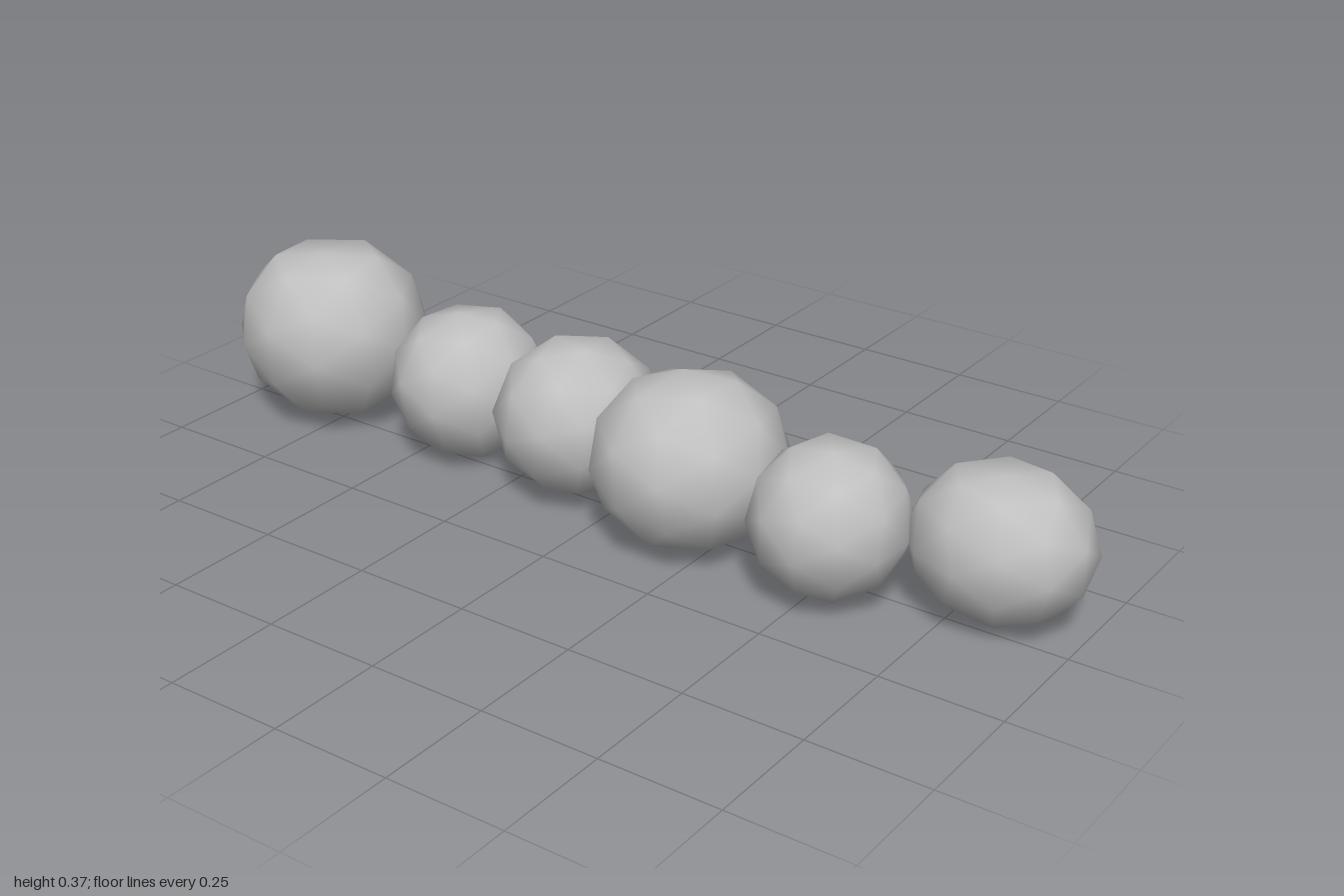
import * as THREE from 'three';
import { mergeVertices } from 'three/addons/utils/BufferGeometryUtils.js';

const grey = new THREE.MeshStandardMaterial({ color: 0xc0c0c0 });
grey.name = 'plain grey';

// Low-poly ball: turned, flattened at its poles, then fitted into a box.
function ballGeometry(min, max, turn, low, high) {
  let g = new THREE.IcosahedronGeometry(1, 1);
  g.deleteAttribute('uv');
  g.deleteAttribute('normal');
  g = mergeVertices(g, 1e-4);
  g.rotateX(turn[0]).rotateY(turn[1]).rotateZ(turn[2]);
  const p = g.attributes.position;
  for (let i = 0; i < p.count; i++) {
    p.setY(i, THREE.MathUtils.clamp(p.getY(i), -low, high));
  }
  g.computeBoundingBox();
  const b = g.boundingBox;
  const fit = (v, a, z, lo, hi) => lo + ((v - a) / (z - a)) * (hi - lo);
  for (let i = 0; i < p.count; i++) {
    p.setXYZ(i,
      fit(p.getX(i), b.min.x, b.max.x, min[0], max[0]),
      fit(p.getY(i), b.min.y, b.max.y, min[1], max[1]),
      fit(p.getZ(i), b.min.z, b.max.z, min[2], max[2]));
  }
  g.computeVertexNormals();
  g.computeBoundingBox();
  g.computeBoundingSphere();
  return g;
}

// Each ball: lowest corner, highest corner, turn, pole flattening below and above
const balls = [
  { min: [-1, 0.01, -0.22], max: [-0.57, 0.373, 0.17], turn: [0.08, 0.5, 0.05], low: 0.95, high: 0.87 },
  { min: [-0.585, 0, -0.21], max: [-0.255, 0.315, 0.12], turn: [0.1, 0.2, 0.1], low: 0.95, high: 0.94 },
  { min: [-0.285, 0.015, -0.195], max: [0.05, 0.33, 0.15], turn: [0.2, 0.7, -0.1], low: 0.94, high: 0.95 },
  { min: [0, 0.01, -0.165], max: [0.385, 0.356, 0.22], turn: [-0.1, 0.3, 0.12], low: 0.94, high: 0.95 },
  { min: [0.37, 0.023, -0.105], max: [0.685, 0.314, 0.215], turn: [0.15, 0.1, -0.08], low: 0.9, high: 0.94 },
  { min: [0.65, 0.022, -0.215], max: [1, 0.298, 0.1], turn: [0.1, 0.9, 0.06], low: 0.87, high: 0.88 },
];

export function createModel() {
  const model = new THREE.Group();
  model.name = 'ballRow';
  balls.forEach((b, i) => {
    const mesh = new THREE.Mesh(ballGeometry(b.min, b.max, b.turn, b.low, b.high), grey);
    mesh.name = `ball${i + 1}`;
    model.add(mesh);
  });
  return model;
}
